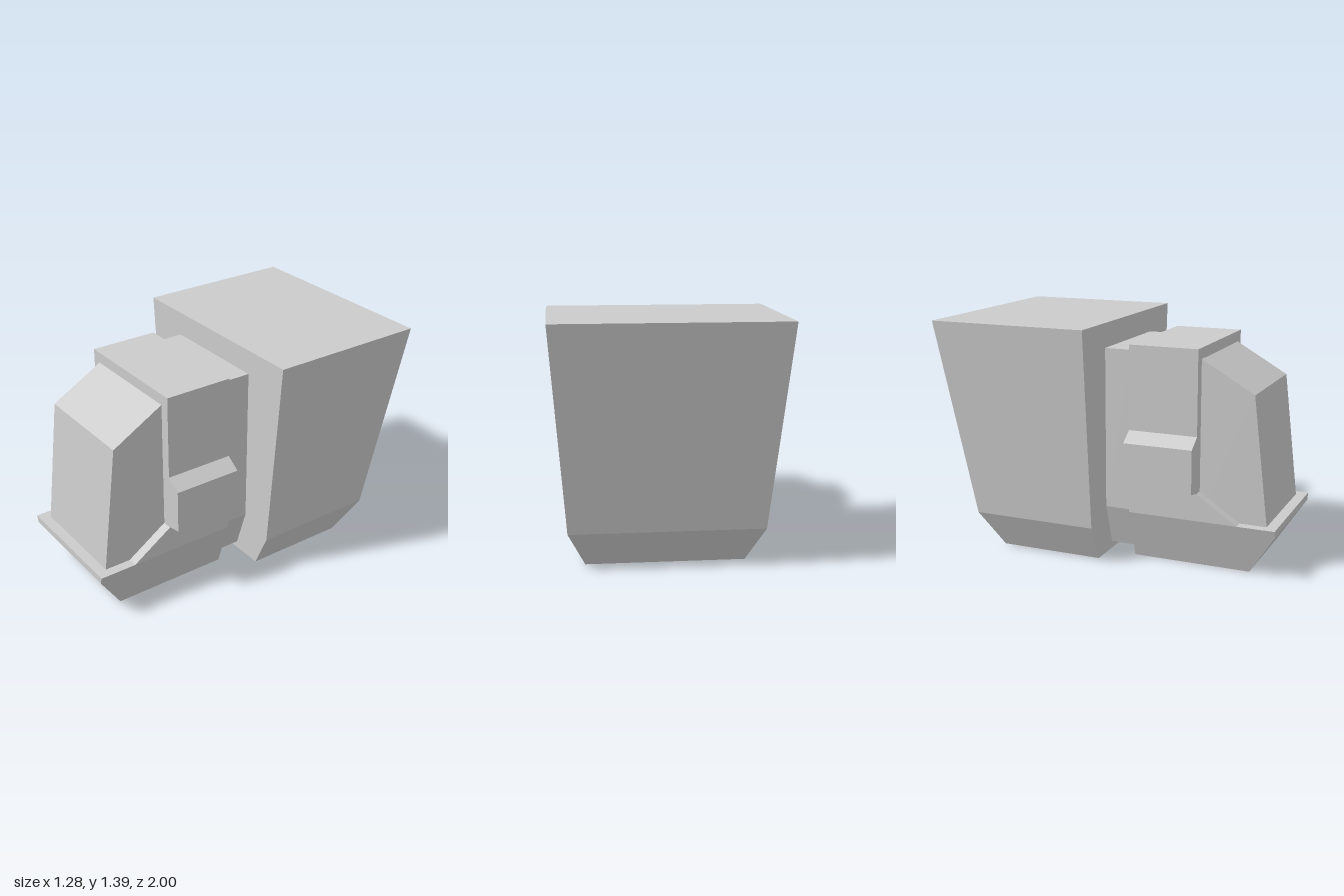
import * as THREE from 'three';

const material = new THREE.MeshStandardMaterial({ color: 0xcccccc, flatShading: true });

// Solid stacked from rectangular levels [y, halfWidth, frontZ, backZ], bottom to top
function stackedBlock(name, levels) {
  const rings = levels.map(([y, w, f, b]) => [[w, y, f], [w, y, b], [-w, y, b], [-w, y, f]]);
  const positions = [];
  const quad = (a, b, c, d) => positions.push(...a, ...b, ...c, ...a, ...c, ...d);
  for (let i = 0; i < rings.length - 1; i++) {
    const lo = rings[i], hi = rings[i + 1];
    for (let k = 0; k < 4; k++) {
      const n = (k + 1) % 4;
      quad(lo[k], lo[n], hi[n], hi[k]);
    }
  }
  const bottom = rings[0], top = rings[rings.length - 1];
  quad(bottom[3], bottom[2], bottom[1], bottom[0]);
  quad(...top);
  const geometry = new THREE.BufferGeometry();
  geometry.setAttribute('position', new THREE.Float32BufferAttribute(positions, 3));
  geometry.computeVertexNormals();
  const mesh = new THREE.Mesh(geometry, material);
  mesh.name = name;
  return mesh;
}

export function createModel() {
  const group = new THREE.Group();
  group.name = 'blockyCabAndHopper';
  group.add(
    // Large flared box at the back
    stackedBlock('rearHopper', [
      [0.006, 0.45, -0.04, -0.67],
      [0.222, 0.548, -0.04, -0.795],
      [1.387, 0.641, -0.04, -1],
    ]),
    // Narrow neck joining hopper and cab
    stackedBlock('connector', [
      [0.048, 0.26, 0.13, -0.04],
      [0.295, 0.34, 0.13, -0.04],
      [1.244, 0.34, 0.13, -0.04],
    ]),
    // Tapered base with a raked, lipped front
    stackedBlock('lowerHull', [
      [0, 0.293, 0.835, 0.128],
      [0.254, 0.374, 1, 0.128],
      [0.295, 0.387, 1, 0.128],
    ]),
    // Cab body with side bulges
    stackedBlock('cabBody', [
      [0.295, 0.387, 0.54, 0.128],
      [0.458, 0.387, 0.54, 0.128],
      [0.474, 0.472, 0.54, 0.128],
      [0.731, 0.472, 0.54, 0.128],
      [0.788, 0.387, 0.54, 0.128],
      [1.282, 0.387, 0.54, 0.128],
    ]),
    // Sloped shoulder between body and hull lip
    stackedBlock('frontRamp', [
      [0.295, 0.387, 0.78, 0.54],
      [0.455, 0.387, 0.541, 0.54],
    ]),
    // Raked nose with a sloping top
    stackedBlock('nose', [
      [0.295, 0.328, 0.938, 0.54],
      [1.04, 0.328, 0.85, 0.54],
      [1.218, 0.328, 0.541, 0.54],
    ]),
  );
  return group;
}
